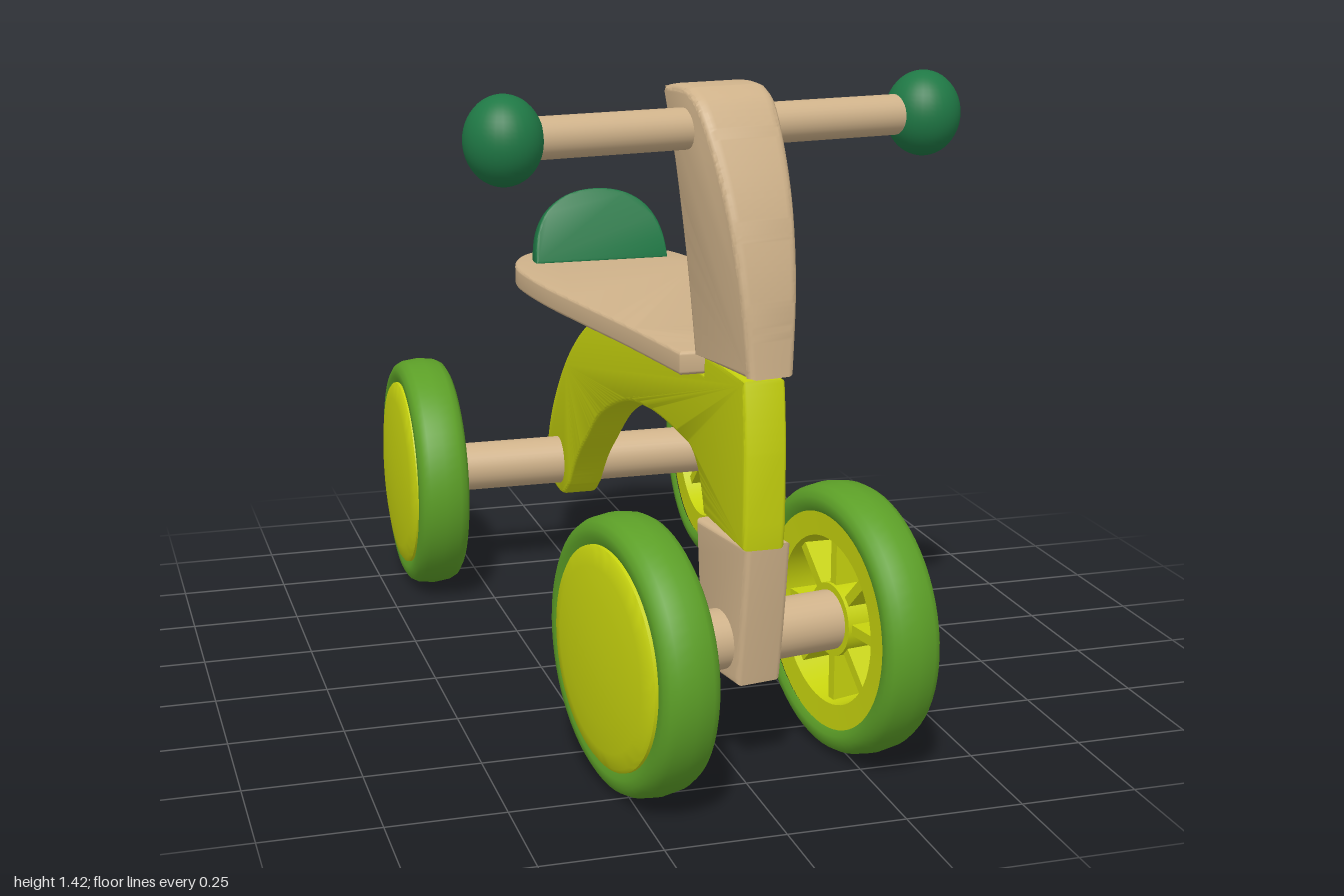
import * as THREE from 'three';
import { toCreasedNormals } from 'three/addons/utils/BufferGeometryUtils.js';

const material = (name, color) => {
  const m = new THREE.MeshStandardMaterial({ color });
  m.name = name;
  return m;
};

export function createModel() {
  const wood = material('wood', 0xcfb28a);
  const yellow = material('yellow', 0xc6d20e);
  const tyreGreen = material('tyreGreen', 0x5c9f27);
  const darkGreen = material('darkGreen', 0x1f7845);

  const trike = new THREE.Group();
  trike.name = 'tricycle';
  const CX = 0.017, WHEEL_Y = 0.291;

  const add = (parent, name, geometry, mat, x = 0, y = 0, z = 0) => {
    const mesh = new THREE.Mesh(geometry, mat);
    mesh.name = name;
    mesh.position.set(x, y, z);
    parent.add(mesh);
    return mesh;
  };
  const vec = (list) => list.map(([a, b]) => new THREE.Vector2(a, b));

  // Extrusion with rounded edges, centred on its thickness
  const slab = (shape, width, bevel) => {
    const depth = width - 2 * bevel;
    return new THREE.ExtrudeGeometry(shape, {
      depth, curveSegments: 20, bevelEnabled: true, bevelSegments: 4,
      bevelSize: bevel, bevelThickness: bevel, bevelOffset: -bevel,
    }).translate(0, 0, -depth / 2);
  };
  // Side profile given as (z, y), thickness along x
  const sideSlab = (shape, width, bevel) => slab(shape, width, bevel).rotateY(-Math.PI / 2);
  const crease = (g) => toCreasedNormals(g, 0.6);
  const bar = (radius, length) => new THREE.CylinderGeometry(radius, radius, length, 32).rotateZ(Math.PI / 2);
  const lathe = (list) =>
    toCreasedNormals(new THREE.LatheGeometry(vec(list), 64).rotateZ(-Math.PI / 2), 0.6);

  // Wheel parts: axis along x, outer face towards +x
  const tyreGeo = lathe([
    [0.232, -0.055], [0.245, -0.0625], [0.262, -0.0615], [0.276, -0.053], [0.284, -0.038],
    [0.289, 0], [0.284, 0.038], [0.276, 0.053], [0.262, 0.0615], [0.245, 0.0625], [0.228, 0.055],
  ]);
  const rimGeo = lathe([
    [0, 0.03], [0.175, 0.03], [0.18, -0.05], [0.236, -0.052], [0.236, 0.05],
  ]);
  const capGeo = lathe([
    [0.231, 0.05], [0.23, 0.063], [0.222, 0.069], [0.19, 0.075], [0.13, 0.082], [0.06, 0.086], [0, 0.087],
  ]);
  const hubGeo = bar(0.078, 0.08);
  const spokeGeo = new THREE.BoxGeometry(0.065, 0.115, 0.022).translate(0, 0.127, 0);

  const addWheel = (parent, name, side, x, y, z) => {
    const wheel = new THREE.Group();
    wheel.name = name;
    add(wheel, 'tyre', tyreGeo, tyreGreen);
    add(wheel, 'rim', rimGeo, yellow);
    add(wheel, 'hubCap', capGeo, yellow);
    add(wheel, 'hub', hubGeo, yellow);
    for (let i = 0; i < 8; i++) {
      add(wheel, 'spoke', spokeGeo, yellow).rotation.x = (i * Math.PI) / 4;
    }
    wheel.position.set(x, y, z);
    if (side < 0) wheel.rotation.y = Math.PI;
    parent.add(wheel);
  };

  // Curved frame from the head down to the rear axle
  const frame = new THREE.Shape();
  frame.moveTo(0.79, 0.515);
  frame.lineTo(0.798, 0.57);
  frame.lineTo(0.798, 0.71);
  frame.quadraticCurveTo(0.795, 0.79, 0.782, 0.86);
  frame.lineTo(0.528, 0.86);
  frame.lineTo(0.528, 0.817);
  frame.lineTo(-0.17, 0.817);
  frame.splineThru(vec([
    [-0.28, 0.79], [-0.396, 0.728], [-0.52, 0.66], [-0.636, 0.575], [-0.74, 0.47],
    [-0.81, 0.37], [-0.841, 0.28], [-0.815, 0.225], [-0.75, 0.206], [-0.67, 0.21], [-0.61, 0.25],
  ]));
  frame.splineThru(vec([
    [-0.54, 0.33], [-0.45, 0.405], [-0.29, 0.52], [-0.075, 0.605], [0.1, 0.635], [0.25, 0.642], [0.42, 0.637],
  ]));
  frame.quadraticCurveTo(0.5, 0.625, 0.53, 0.515);
  add(trike, 'frame', crease(sideSlab(frame, 0.088, 0.01)), yellow, CX);

  // Seat board, broad and round at the back
  const seat = new THREE.Shape();
  const right = [[0.14, 0.26], [0.182, 0], [0.212, -0.2], [0.225, -0.36], [0.222, -0.45],
    [0.198, -0.54], [0.155, -0.605], [0.08, -0.648], [0, -0.66]];
  const left = right.slice(0, -1).reverse().map(([x, z]) => [-x, z]);
  // Drawn with y as -z, then laid flat
  seat.moveTo(0.105, -0.527);
  seat.splineThru(vec([...right, ...left, [-0.105, 0.527]].map(([x, z]) => [x, -z])));
  add(trike, 'seat', crease(slab(seat, 0.05, 0.008).rotateX(-Math.PI / 2)), wood, 0.027, 0.84, 0);

  // Small tilted backrest
  const rest = new THREE.Shape();
  rest.moveTo(-0.167, 0);
  rest.lineTo(0.167, 0);
  rest.bezierCurveTo(0.168, 0.125, 0.1, 0.182, 0, 0.182);
  rest.bezierCurveTo(-0.1, 0.182, -0.168, 0.125, -0.167, 0);
  add(trike, 'backrest', crease(slab(rest, 0.046, 0.006)), darkGreen, 0.027, 0.857, -0.482).rotation.x = -0.34;

  // Rear axle and wheels
  add(trike, 'rearAxle', bar(0.061, 0.74), wood, CX, WHEEL_Y, -0.711);
  for (const s of [-1, 1]) {
    addWheel(trike, s > 0 ? 'rearLeftWheel' : 'rearRightWheel', s, 0.013 + s * 0.395, WHEEL_Y, -0.711);
  }

  // Steering assembly, turned slightly to one side
  const steering = new THREE.Group();
  steering.name = 'steering';
  steering.position.set(CX, 0, 0.66);
  steering.rotation.y = 0.174;
  trike.add(steering);

  // Handlebar stem: side profile, wider towards the top
  const stem = new THREE.Shape();
  stem.moveTo(-0.126, 0.86);
  stem.lineTo(0.116, 0.86);
  stem.splineThru(vec([[0.107, 1.0], [0.088, 1.11], [0.056, 1.215], [0.008, 1.315], [-0.04, 1.385], [-0.085, 1.412]]));
  stem.quadraticCurveTo(-0.14, 1.42, -0.19, 1.408);
  stem.splineThru(vec([[-0.18, 1.33], [-0.161, 1.24], [-0.138, 1.05], [-0.126, 0.86]]));
  const stemGeo = sideSlab(stem, 0.1, 0.014);
  const pos = stemGeo.attributes.position;
  for (let i = 0; i < pos.count; i++) {
    pos.setX(i, pos.getX(i) * (1 + 0.8 * Math.max(0, (pos.getY(i) - 0.86) / 0.55)));
  }
  add(steering, 'stem', crease(stemGeo), wood);

  // Handlebar with round grips
  add(steering, 'handlebar', bar(0.042, 0.9), wood, 0, 1.33, -0.103);
  for (const s of [-1, 1]) {
    add(steering, s > 0 ? 'leftGrip' : 'rightGrip', new THREE.SphereGeometry(1, 32, 24), darkGreen,
      s * 0.472, 1.33, -0.103).scale.set(0.078, 0.089, 0.08);
  }

  // Fork block and front axle
  const fork = new THREE.Shape();
  fork.moveTo(-0.085, 0.212);
  fork.lineTo(0.075, 0.212);
  fork.quadraticCurveTo(0.1, 0.38, 0.112, 0.517);
  fork.lineTo(-0.112, 0.517);
  fork.quadraticCurveTo(-0.1, 0.38, -0.085, 0.212);
  add(steering, 'fork', crease(sideSlab(fork, 0.102, 0.012)), wood);
  add(steering, 'frontAxle', bar(0.063, 0.45), wood, 0, WHEEL_Y, 0);
  for (const s of [-1, 1]) {
    addWheel(steering, s > 0 ? 'frontLeftWheel' : 'frontRightWheel', s, s * 0.25, WHEEL_Y, 0);
  }

  return trike;
}
